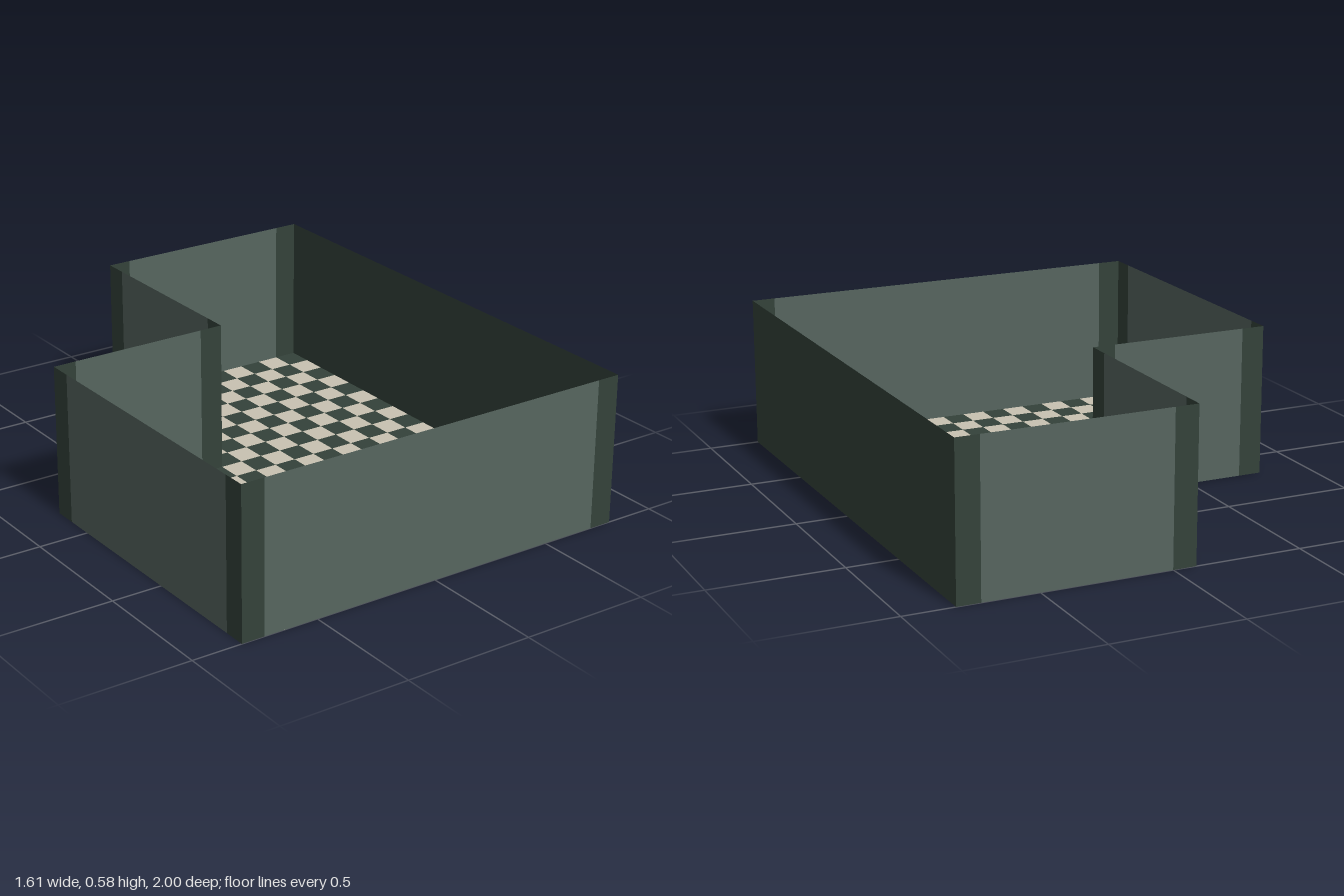
import * as THREE from 'three';
import { mergeGeometries } from 'three/addons/utils/BufferGeometryUtils.js';

const X = 0.805, Z = 1, H = 0.58, ROWS = 20, COLS = 18;
const DX = (2 * X) / COLS, DZ = (2 * Z) / ROWS;
const NOTCH_COLS = 8, NOTCH_ROWS = 8;
const NX = -X + NOTCH_COLS * DX, NZ = -Z + NOTCH_ROWS * DZ;
const STRIP = 0.09;

function material(name, color) {
  const m = new THREE.MeshStandardMaterial({ color, side: THREE.DoubleSide });
  m.name = name;
  return m;
}

// Upright panel covering the stretch from distance s to e along the line a -> b
function panel(a, b, s, e) {
  const dir = b.clone().sub(a).normalize();
  const mid = a.clone().addScaledVector(dir, (s + e) / 2);
  return new THREE.PlaneGeometry(e - s, H)
    .rotateY(Math.atan2(-dir.y, dir.x))
    .translate(mid.x, H / 2, mid.y);
}

export function createModel() {
  const group = new THREE.Group();
  const dark = material('dark green', 0x34423a);
  const green = material('grey green', 0x56655f);
  const cream = material('cream', 0xc9c2b2);

  const add = (name, geometries, mat, parent = group) => {
    const mesh = new THREE.Mesh(mergeGeometries(geometries), mat);
    mesh.name = name;
    parent.add(mesh);
  };

  // L-shaped checkered floor
  const tiles = [[], []];
  for (let r = 0; r < ROWS; r++) {
    for (let c = 0; c < COLS; c++) {
      if (r < NOTCH_ROWS && c < NOTCH_COLS) continue;
      tiles[(r + c) % 2].push(new THREE.PlaneGeometry(DX, DZ)
        .rotateX(-Math.PI / 2)
        .translate(-X + (c + 0.5) * DX, 0, -Z + (r + 0.5) * DZ));
    }
  }
  add('creamFloorTiles', tiles[0], cream);
  add('darkFloorTiles', tiles[1], dark);

  // Thin walls around the outline, counter-clockwise from the front left corner
  const corners = [[-X, Z], [X, Z], [X, -Z], [NX, -Z], [NX, NZ], [-X, NZ]]
    .map(([x, z]) => new THREE.Vector2(x, z));
  const names = ['frontWall', 'sideWall', 'backWall', 'innerSideWall', 'innerBackWall', 'shortSideWall'];
  names.forEach((name, i) => {
    const a = corners[i], b = corners[(i + 1) % corners.length];
    const length = a.distanceTo(b);
    const wall = new THREE.Group();
    wall.name = name;
    group.add(wall);
    if (name === 'sideWall') {
      // the long side is dark all over
      add('wallPanel', [panel(a, b, 0, length)], dark, wall);
    } else {
      add('wallPanel', [panel(a, b, STRIP, length - STRIP)], green, wall);
      add('cornerStrips', [panel(a, b, 0, STRIP), panel(a, b, length - STRIP, length)], dark, wall);
    }
  });

  return group;
}
